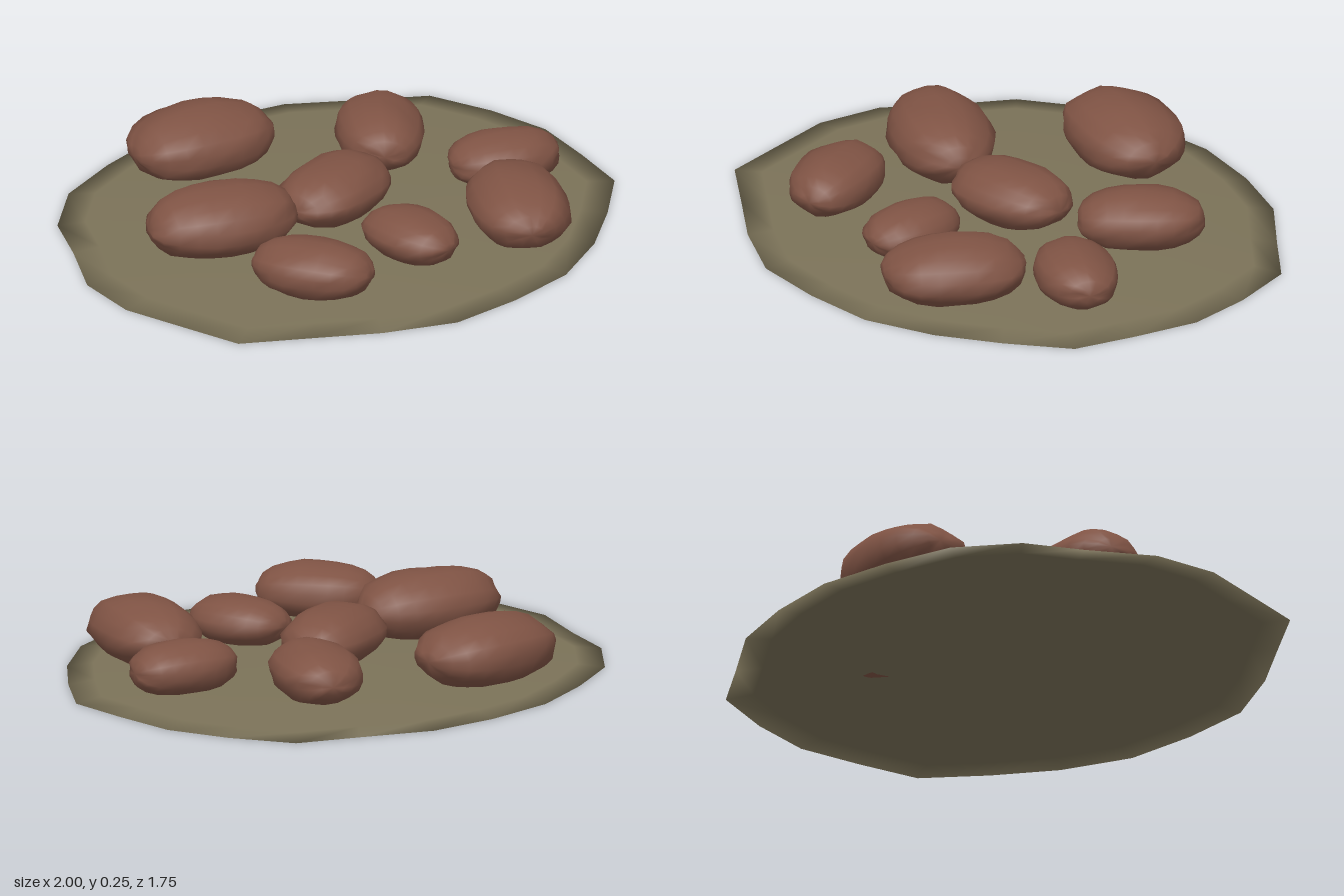
import * as THREE from 'three';
import { mergeVertices } from 'three/addons/utils/BufferGeometryUtils.js';

// uneven rim of the ground patch: x, z pairs, clockwise seen from above
const RIM = [
  [0, -0.88], [0.26, -0.84], [0.5, -0.76], [0.71, -0.6], [0.9, -0.46], [0.97, -0.23],
  [1, 0], [0.95, 0.23], [0.89, 0.45], [0.7, 0.61], [0.5, 0.75], [0.26, 0.855],
  [0, 0.875], [-0.26, 0.86], [-0.5, 0.74], [-0.7, 0.6], [-0.91, 0.455], [-0.955, 0.23],
  [-1, 0], [-0.96, -0.23], [-0.82, -0.44], [-0.71, -0.63], [-0.51, -0.78], [-0.26, -0.845],
];

// stones: x, z, half length, half width, top height, tilt in degrees towards +z
const STONES = [
  [-0.08, -0.58, 0.26, 0.188, 0.25, 15],
  [-0.462, -0.085, 0.26, 0.175, 0.254, 25],
  [0.005, -0.01, 0.225, 0.16, 0.213, -8],
  [0.432, -0.225, 0.218, 0.152, 0.213, -50],
  [0.603, 0.205, 0.193, 0.14, 0.197, 25],
  [0.348, 0.533, 0.248, 0.172, 0.24, -57],
  [-0.033, 0.4, 0.18, 0.13, 0.18, 88],
  [-0.47, 0.37, 0.212, 0.145, 0.207, 66],
];

// thin, slightly domed patch: rings from the underside centre, round the rim, to the top centre
function groundGeometry() {
  const rings = [[0.001, 0.012], [0.5, 0.011], [0.9, 0.005], [1, 0], [0.9, 0.012], [0.5, 0.03], [0.001, 0.038]];
  const n = RIM.length, positions = [], index = [];
  for (const [s, y] of rings) for (const [x, z] of RIM) positions.push(x * s, y, z * s);
  for (let r = 0; r < rings.length - 1; r++) {
    for (let i = 0; i < n; i++) {
      const a = r * n + i, b = r * n + (i + 1) % n;
      index.push(a, a + n, b, b, a + n, b + n);
    }
  }
  const g = new THREE.BufferGeometry();
  g.setAttribute('position', new THREE.Float32BufferAttribute(positions, 3));
  g.setIndex(index);
  g.computeVertexNormals();
  return g;
}

// blunt, lumpy ellipsoid with soft ridges along its length
function stoneGeometry(a, h, b, seed) {
  let g = new THREE.SphereGeometry(1, 18, 12).rotateZ(Math.PI / 2);
  g.deleteAttribute('uv');
  g.deleteAttribute('normal');
  g = mergeVertices(g, 1e-4);
  const p = g.attributes.position, v = new THREE.Vector3();
  for (let i = 0; i < p.count; i++) {
    v.fromBufferAttribute(p, i);
    const around = Math.atan2(v.z, v.y), girth = Math.hypot(v.y, v.z);
    const blunt = (Math.abs(v.x) ** 2.3 + girth ** 2.3) ** (-1 / 2.3);
    const k = blunt * (1 + 0.025 * girth * Math.sin(6 * around + seed * 1.7)
      + 0.015 * Math.sin(4 * v.x + 3 * v.z + seed * 2.3)
      + 0.015 * Math.sin(9 * v.y - 7 * v.x + seed));
    v.multiplyScalar(k);
    p.setXYZ(i, v.x * a, v.y * h, v.z * b);
  }
  g.computeVertexNormals();
  return g;
}

export function createModel() {
  const olive = new THREE.MeshStandardMaterial({ color: 0x7b7258 });
  olive.name = 'olive earth';
  const brown = new THREE.MeshStandardMaterial({ color: 0x7f5344 });
  brown.name = 'reddish brown';

  const model = new THREE.Group();
  model.name = 'stonesOnGround';

  const ground = new THREE.Mesh(groundGeometry(), olive);
  ground.name = 'groundPatch';
  model.add(ground);

  // stones sunk slightly into the patch
  const bottom = 0.011;
  STONES.forEach(([x, z, a, b, top, tilt], i) => {
    const stone = new THREE.Mesh(stoneGeometry(a, (top - bottom) / 2, b, i + 1), brown);
    stone.name = 'stone' + (i + 1);
    stone.position.set(x, (top + bottom) / 2, z);
    stone.rotation.y = -THREE.MathUtils.degToRad(tilt);
    model.add(stone);
  });
  return model;
}
